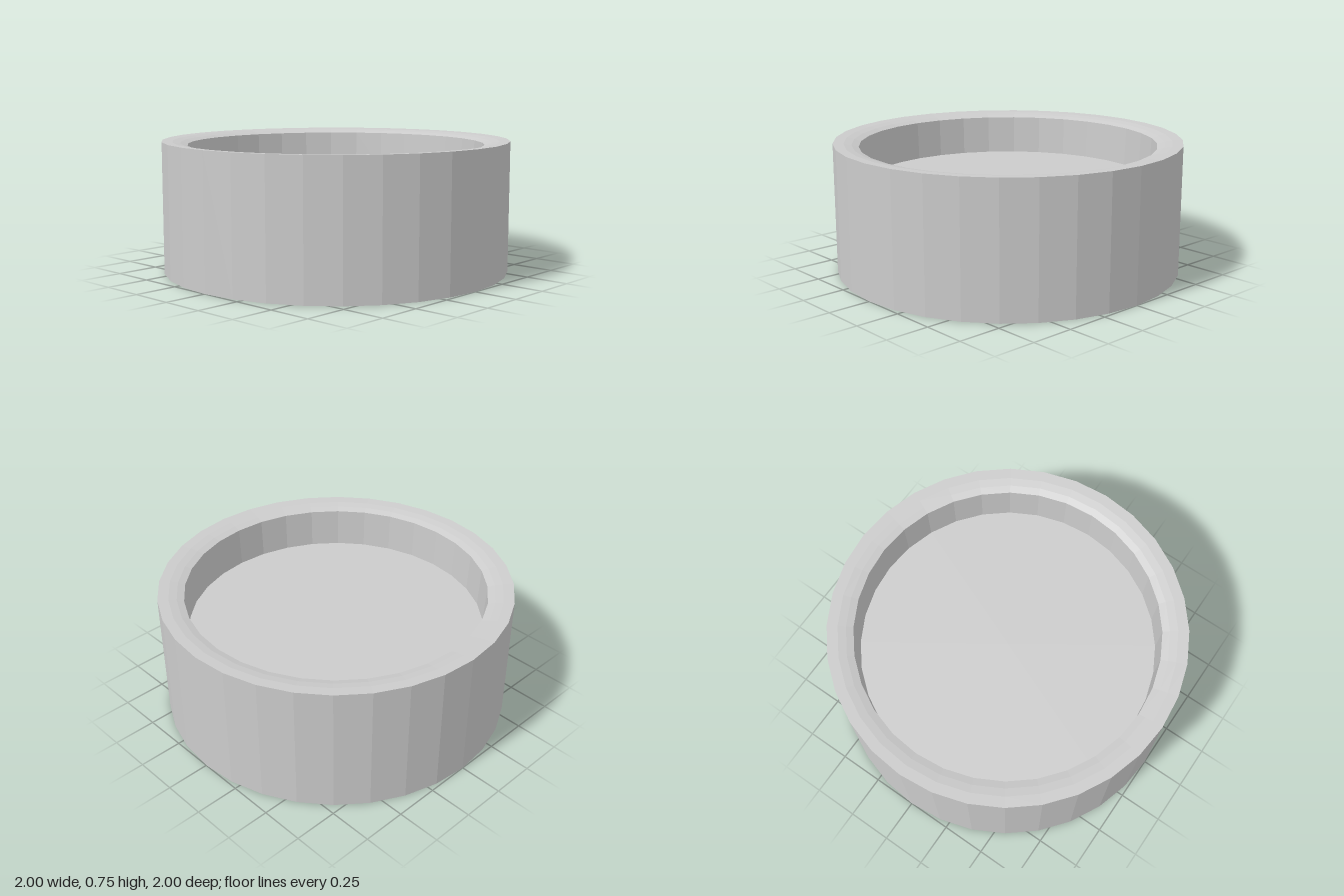
import * as THREE from 'three';

const SIDES = 32;

export function createModel() {
  const group = new THREE.Group();
  group.name = 'shallowRoundDish';
  const material = new THREE.MeshStandardMaterial({ color: 0xcccccc, flatShading: true });

  // Turns a profile of [radius, height] pairs around the y axis
  const turned = (name, profile) => {
    const points = profile.map(([r, y]) => new THREE.Vector2(r, y));
    const mesh = new THREE.Mesh(new THREE.LatheGeometry(points, SIDES), material);
    mesh.name = name;
    group.add(mesh);
  };

  // Closed underside and straight outer wall
  turned('body', [[0, 0], [1, 0], [1, 0.75]]);

  // Rim that rolls gently down toward the recess
  turned('rim', [[1, 0.75], [0.94, 0.747], [0.895, 0.739], [0.855, 0.727]]);

  // Slightly tapered recess wall and flat floor
  turned('recess', [[0.855, 0.727], [0.845, 0.5], [0, 0.5]]);

  return group;
}
